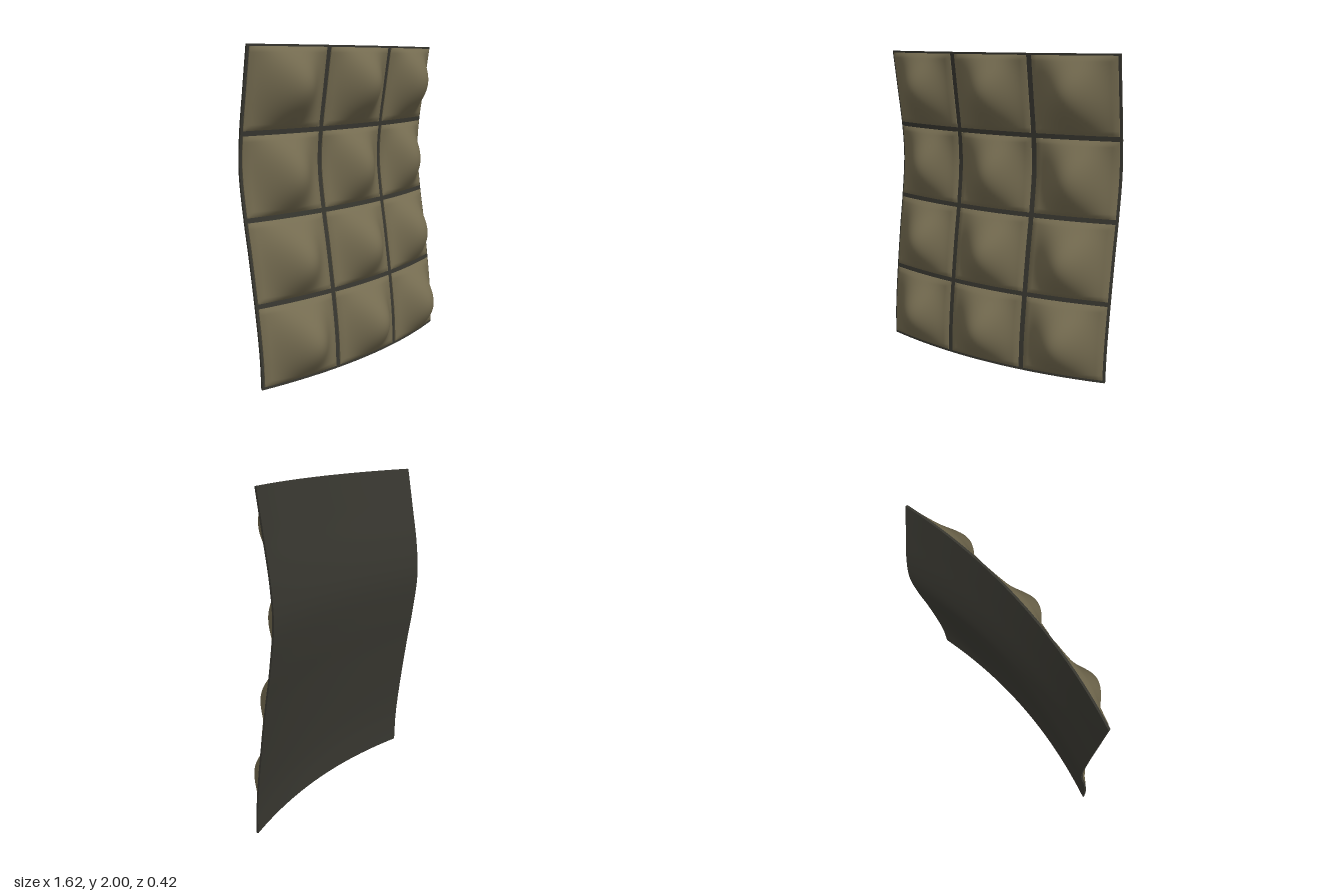
import * as THREE from 'three';

const olive = new THREE.MeshStandardMaterial({ color: 0x746b50 });
olive.name = 'olive padding';
const charcoal = new THREE.MeshStandardMaterial({ color: 0x383730 });
charcoal.name = 'charcoal backing';

const WIDTH = 1.62, HEIGHT = 2, SAG = 0.104, THICK = 0.012;

// depth of the backing's side edges at a few heights, smoothed by a spline
const spine = new THREE.SplineCurve([
  [0, -0.057], [0.2, -0.064], [0.44, -0.09], [0.78, -0.138], [1.01, -0.176],
  [1.27, -0.206], [1.5, -0.192], [1.76, -0.15], [2, -0.11],
].map(([y, z]) => new THREE.Vector2(y, z)));
const samples = spine.getPoints(160);

function edgeDepth(y) {
  let i = 0;
  while (i < samples.length - 2 && samples[i + 1].x < y) i++;
  const a = samples[i], b = samples[i + 1];
  return a.y + (b.y - a.y) * (y - a.x) / (b.x - a.x);
}

const backZ = (x, y) => edgeDepth(y) + SAG * (1 - (2 * x / WIDTH) ** 2);
const frontZ = (x, y) => backZ(x, y) + THICK;

// a box bent so that its front and back follow two depth functions
function bentSlab(name, material, w, h, cx, cy, nx, ny, front, back) {
  const geometry = new THREE.BoxGeometry(w, h, 1, nx, ny, 1);
  geometry.translate(cx, cy, 0);
  const p = geometry.attributes.position;
  for (let i = 0; i < p.count; i++) {
    const x = p.getX(i), y = p.getY(i);
    p.setZ(i, p.getZ(i) > 0 ? front(x, y) : back(x, y));
  }
  geometry.computeVertexNormals();
  const mesh = new THREE.Mesh(geometry, material);
  mesh.name = name;
  return mesh;
}

export function createModel() {
  const model = new THREE.Group();
  model.name = 'paddedPanel';

  // curved backing sheet
  model.add(bentSlab('backing', charcoal, WIDTH, HEIGHT, 0, HEIGHT / 2, 32, 48, frontZ, backZ));

  // three columns by four rows of domed pads
  const w = 0.508, h = 0.47;
  for (let row = 0; row < 4; row++) {
    for (let col = -1; col <= 1; col++) {
      const cx = col * 0.542, cy = 0.253 + row * 0.5;
      const padFront = (x, y) => {
        const u = (x - cx) / w, v = (y - cy) / h;
        const toRim = Math.min((0.5 - Math.abs(u)) * w, (0.5 - Math.abs(v)) * h);
        const lip = 0.006 + 0.01 * Math.min(1, toRim / 0.018);
        const dome = 0.15 * Math.cos(Math.PI * u) ** 2 * Math.cos(Math.PI * v);
        return frontZ(x, y) + lip + dome;
      };
      model.add(bentSlab('pad', olive, w, h, cx, cy, 28, 28, padFront, frontZ));
    }
  }

  // centre front to back
  const box = new THREE.Box3().setFromObject(model);
  const shift = -(box.min.z + box.max.z) / 2;
  model.children.forEach((mesh) => mesh.geometry.translate(0, 0, shift));
  return model;
}
